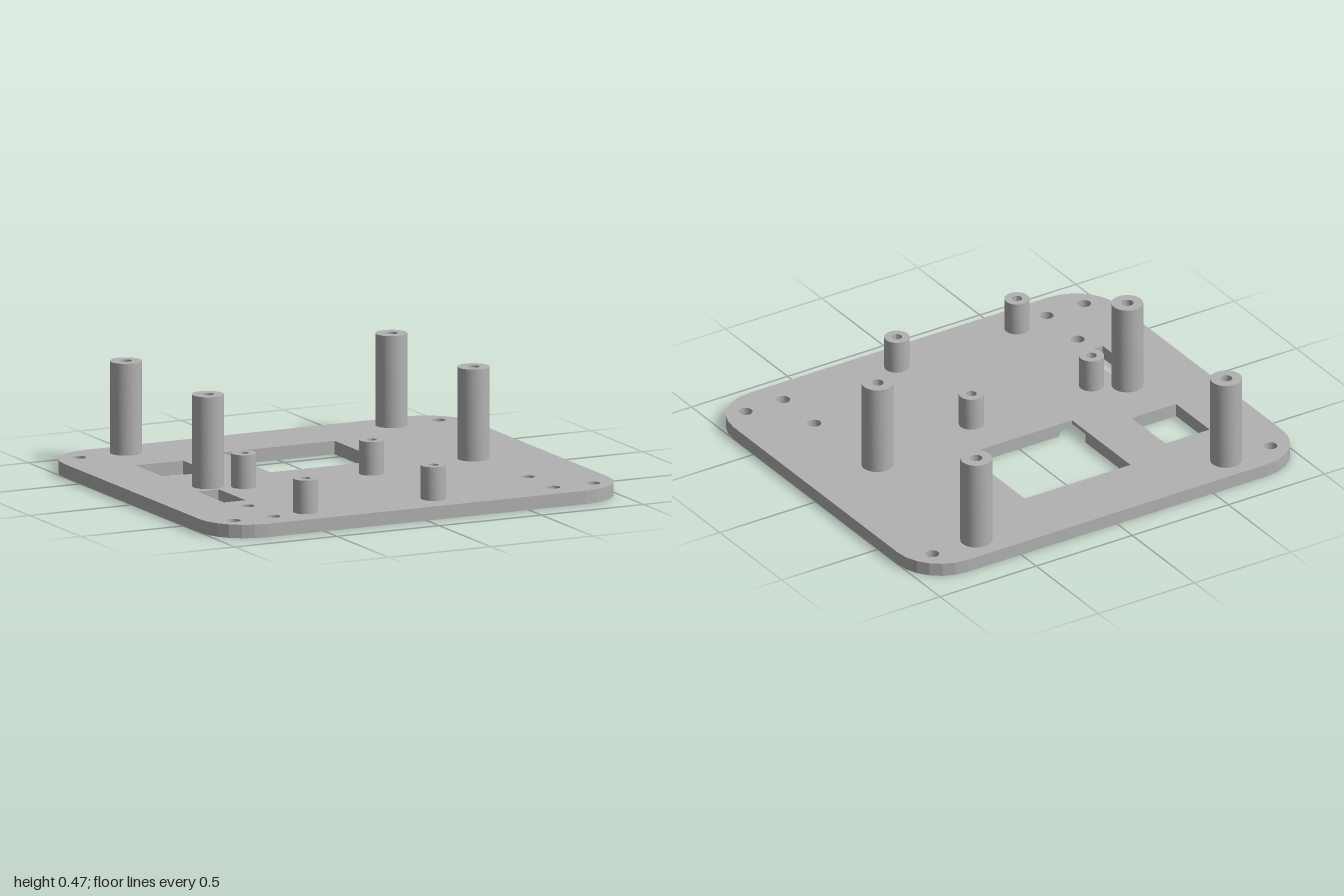
import * as THREE from 'three';
import { toCreasedNormals } from 'three/addons/utils/BufferGeometryUtils.js';

const T = 0.06;              // plate thickness
const WX = 0.275;            // half width of the main window
const GX = 0.35;             // half width of the grooved zone
const G0 = -0.2, G1 = 0.07;  // z range of the grooves
const WZ = -0.09;            // front edge of the main window

export function createModel() {
  const grey = new THREE.MeshStandardMaterial({ color: 0xb2b2b2 });
  grey.name = 'grey plastic';
  const group = new THREE.Group();
  group.name = 'mountingPlate';

  const add = (name, geometry) => {
    const mesh = new THREE.Mesh(geometry, grey);
    mesh.name = name;
    group.add(mesh);
    return mesh;
  };
  // Plan outlines use (x, z); shape y is -z
  const plan = (pts) => pts.map(([x, z]) => new THREE.Vector2(x, -z));

  // Plate outline with rounded corners
  const R = 0.22, outline = [];
  [[1, 1], [-1, 1], [-1, -1], [1, -1]].forEach(([sx, sy], i) => {
    for (let k = 0; k <= 6; k++) {
      const a = (i + k / 6) * Math.PI / 2;
      outline.push(new THREE.Vector2(sx * (1 - R) + R * Math.cos(a), sy * (0.88 - R) + R * Math.sin(a)));
    }
  });
  const plate = new THREE.Shape(outline);
  const cutPolygon = (pts) => plate.holes.push(new THREE.Path(plan(pts)));
  const cutRect = (x0, x1, z0, z1) => cutPolygon([[x0, z0], [x0, z1], [x1, z1], [x1, z0]]);
  const cutCircle = (x, z, r) => plate.holes.push(new THREE.Path().absarc(x, -z, r, 0, Math.PI * 2, true));

  // Main window, widened where the grooved inserts sit
  cutPolygon([[-WX, -0.56], [-WX, G0], [-GX, G0], [-GX, G1], [GX, G1], [GX, G0], [WX, G0], [WX, -0.56]]);
  cutRect(-0.735, -0.505, -0.485, -0.215);
  cutRect(-0.745, -0.64, 0.13, 0.39);

  // Screw holes and bores under the tall posts
  const tall = [];
  for (const s of [-1, 1]) {
    for (const [x, z] of [[0.88, -0.75], [0.88, 0.75], [0.685, 0.75], [0.685, 0.5]]) cutCircle(s * x, z, 0.031);
    for (const z of [-0.75, 0.045]) {
      cutCircle(s * 0.65, z, 0.027);
      tall.push([s * 0.65, z]);
    }
  }
  const plateGeo = new THREE.ExtrudeGeometry(plate, { depth: T, bevelEnabled: false, curveSegments: 24 });
  plateGeo.rotateX(-Math.PI / 2);
  add('plate', plateGeo);

  // Inserts with rounded grooves in the underside, extruded along z
  const arc = (cx, a0, a1) => Array.from({ length: 13 }, (_, k) => {
    const a = a0 + (a1 - a0) * k / 12;
    return new THREE.Vector2(cx + 0.068 * Math.cos(a), 0.042 * Math.sin(a));
  });
  const insert = (name, pts, z0, z1) => {
    const geo = new THREE.ExtrudeGeometry(new THREE.Shape(pts), { depth: z1 - z0, bevelEnabled: false });
    geo.translate(0, 0, z0);
    add(name, toCreasedNormals(geo, 0.5));
  };
  const v = (x, y) => new THREE.Vector2(x, y);
  insert('grooveBridge', [
    v(-GX, 0), ...arc(-WX, Math.PI, 0), ...arc(WX, Math.PI, 0), v(GX, 0), v(GX, T), v(-GX, T),
  ], WZ, G1);
  insert('leftGrooveSide', [...arc(WX, Math.PI / 2, 0), v(GX, 0), v(GX, T), v(WX, T)], G0, WZ);
  insert('rightGrooveSide', [...arc(-WX, Math.PI / 2, Math.PI), v(-GX, 0), v(-GX, T), v(-WX, T)], G0, WZ);

  // Hollow standoffs: outer wall, rim, bore and, if blind, a floor
  const standoff = (r, bore, top, blind) => {
    const pts = [v(r, T), v(r, top), v(bore, top), v(bore, T)];
    if (blind) pts.push(v(0, T));
    return toCreasedNormals(new THREE.LatheGeometry(pts, 32), 0.6);
  };
  const tallGeo = standoff(0.07, 0.027, 0.47, false);
  for (const [x, z] of tall) add('tallPost', tallGeo).position.set(x, 0, z);
  const shortGeo = standoff(0.055, 0.023, 0.21, true);
  for (const x of [-0.515, 0.11]) {
    for (const z of [0.125, 0.725]) add('shortPost', shortGeo).position.set(x, 0, z);
  }
  return group;
}
